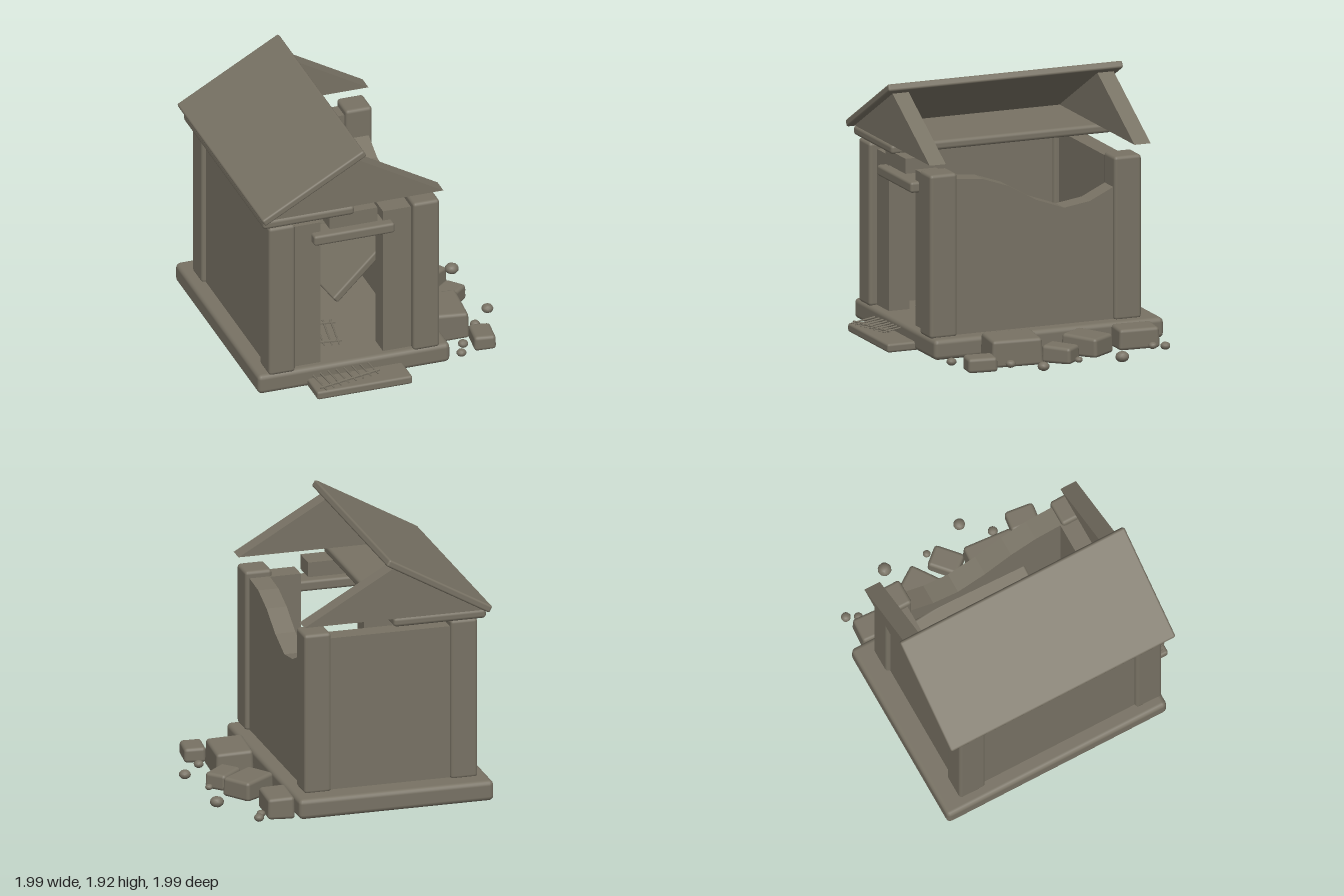
import * as THREE from 'three';
import { RoundedBoxGeometry } from 'three/addons/geometries/RoundedBoxGeometry.js';

const stone = new THREE.MeshStandardMaterial({ color: 0x787264 });
stone.name = 'weathered stone';

export function createModel() {
  const model = new THREE.Group();
  model.name = 'ruinedMausoleum';

  function add(name, geometry, parent = model) {
    const mesh = new THREE.Mesh(geometry, stone);
    mesh.name = name;
    parent.add(mesh);
    return mesh;
  }
  // Block given by its limits, with worn edges when r > 0
  function block(name, [x0, x1], [y0, y1], [z0, z1], r = 0) {
    const s = [x1 - x0, y1 - y0, z1 - z0];
    const mesh = add(name, r ? new RoundedBoxGeometry(...s, 2, r) : new THREE.BoxGeometry(...s));
    mesh.position.set((x0 + x1) / 2, (y0 + y1) / 2, (z0 + z1) / 2);
    return mesh;
  }
  function extrude(points, depth) {
    const shape = new THREE.Shape(points.map(p => new THREE.Vector2(...p)));
    return new THREE.ExtrudeGeometry(shape, { depth, bevelEnabled: false });
  }

  // Base and front step
  block('base', [-1, 0.45], [0.04, 0.19], [-1, 0.78], 0.035);
  block('step', [-0.63, 0.09], [0.04, 0.105], [0.7, 0.99], 0.018);

  // Corner pillars
  for (const x of [-0.92, 0.17])
    for (const z of [-0.86, 0.57])
      block('pillar', [x, x + 0.2], [0.18, 1.38], [z, z + 0.21], 0.025);

  // Walls and doorway
  block('leftWall', [-0.89, -0.74], [0.18, 1.33], [-0.7, 0.6]);
  block('backWall', [-0.75, 0.2], [0.18, 1.33], [-0.83, -0.69]);
  block('doorPanelLeft', [-0.74, -0.51], [0.18, 1.33], [0.56, 0.72]);
  block('doorPanelRight', [-0.04, 0.19], [0.18, 1.33], [0.56, 0.72]);
  block('lintel', [-0.58, 0.03], [1.175, 1.255], [0.6, 0.785], 0.02);
  block('plaque', [-0.46, -0.1], [1.29, 1.4], [0.58, 0.77]);

  // Right wall with broken top: outline drawn in z and y, extruded along x
  const broken = [[0.6, 0.18], [0.6, 1.33], [0.57, 1.33], [0.36, 1.31], [0.16, 1.24],
    [-0.05, 1.12], [-0.27, 1.04], [-0.47, 1.07], [-0.66, 1.16], [-0.7, 1.17], [-0.7, 0.18]];
  const rightWall = add('rightWall', extrude(broken.map(([z, y]) => [-z, y]), 0.15));
  rightWall.rotation.y = Math.PI / 2;
  rightWall.position.x = 0.19;

  // Ceiling slab, gables and the remaining roof half
  block('ceilingSlab', [-0.97, -0.28], [1.39, 1.46], [-0.91, 0.8], 0.025);
  for (const z of [-0.92, 0.67]) {
    const gable = add('gable', extrude([[-0.95, 1.46], [0.39, 1.46], [-0.28, 1.845]], 0.125));
    gable.position.z = z;
  }
  const roof = add('roofSlab', new RoundedBoxGeometry(0.88, 0.054, 1.82, 2, 0.015));
  roof.position.set(-0.602, 1.687, -0.06);
  roof.rotation.z = 0.513;

  // Fallen roof slab leaning on the right wall
  const fallen = add('fallenSlab', new RoundedBoxGeometry(0.72, 0.06, 0.91, 2, 0.015));
  fallen.position.set(-0.03, 0.665, -0.165);
  fallen.rotation.set(0, 0.09, 0.74);

  // Broken gate pieces: parallel bars with a cross rail
  function grate(name, bars, spacing, length, railZ) {
    const group = new THREE.Group();
    group.name = name;
    for (let i = 0; i < bars; i++) {
      const bar = add('gateBar', new THREE.CylinderGeometry(0.005, 0.008, length, 6), group);
      bar.rotation.x = Math.PI / 2;
      bar.position.x = (i - (bars - 1) / 2) * spacing;
    }
    for (const z of railZ) {
      const rail = add('gateRail', new THREE.BoxGeometry(bars * spacing, 0.012, 0.014), group);
      rail.position.z = z;
    }
    model.add(group);
    return group;
  }
  const outer = grate('fallenGate', 8, 0.06, 0.2, [0.06]);
  outer.position.set(-0.37, 0.135, 0.86);
  outer.rotation.set(0.1, 0.16, 0.03);
  const inner = grate('innerGate', 5, 0.055, 0.34, [-0.13, 0.12]);
  inner.position.set(-0.39, 0.21, 0.36);
  inner.rotation.set(0.04, -0.15, 0);

  // Fallen blocks: x, z, width, depth, bottom, top, turn
  const blocks = [
    [0.54, -0.735, 0.2, 0.31, 0.02, 0.18, -0.06],
    [0.625, -0.325, 0.3, 0.24, 0.03, 0.18, 0.6],
    [0.735, -0.07, 0.23, 0.17, 0.02, 0.145, 0.72],
    [0.59, 0.245, 0.28, 0.39, 0.005, 0.215, -0.08],
    [0.765, 0.565, 0.16, 0.22, 0.02, 0.13, -0.12],
  ];
  for (const [x, z, w, d, y0, y1, turn] of blocks) {
    const geometry = new RoundedBoxGeometry(w, y1 - y0, d, 2, 0.025);
    const p = geometry.attributes.position;
    // Taper the top for a worn shape
    for (let i = 0; i < p.count; i++) {
      const k = 1 - 0.5 * Math.max(0, p.getY(i));
      p.setXYZ(i, p.getX(i) * k, p.getY(i) * (1 - 0.5 * p.getX(i)), p.getZ(i) * k);
    }
    const mesh = add('fallenBlock', geometry);
    mesh.position.set(x, (y0 + y1) / 2, z);
    mesh.rotation.y = turn;
  }

  // Pebbles: x, z, radius
  const pebbles = [[0.72, -0.89, 0.036], [0.68, -0.81, 0.032], [0.905, -0.475, 0.05],
    [0.865, -0.155, 0.028], [0.605, -0.15, 0.045], [0.47, -0.18, 0.035],
    [0.95, 0.155, 0.043], [0.79, 0.34, 0.036], [0.615, 0.58, 0.037], [0.56, 0.7, 0.036]];
  pebbles.forEach(([x, z, r], i) => {
    const pebble = add('pebble', new THREE.DodecahedronGeometry(r, 1));
    pebble.scale.y = 0.8;
    pebble.position.set(x, 0.055, z);
    pebble.rotation.y = i;
  });

  return model;
}
